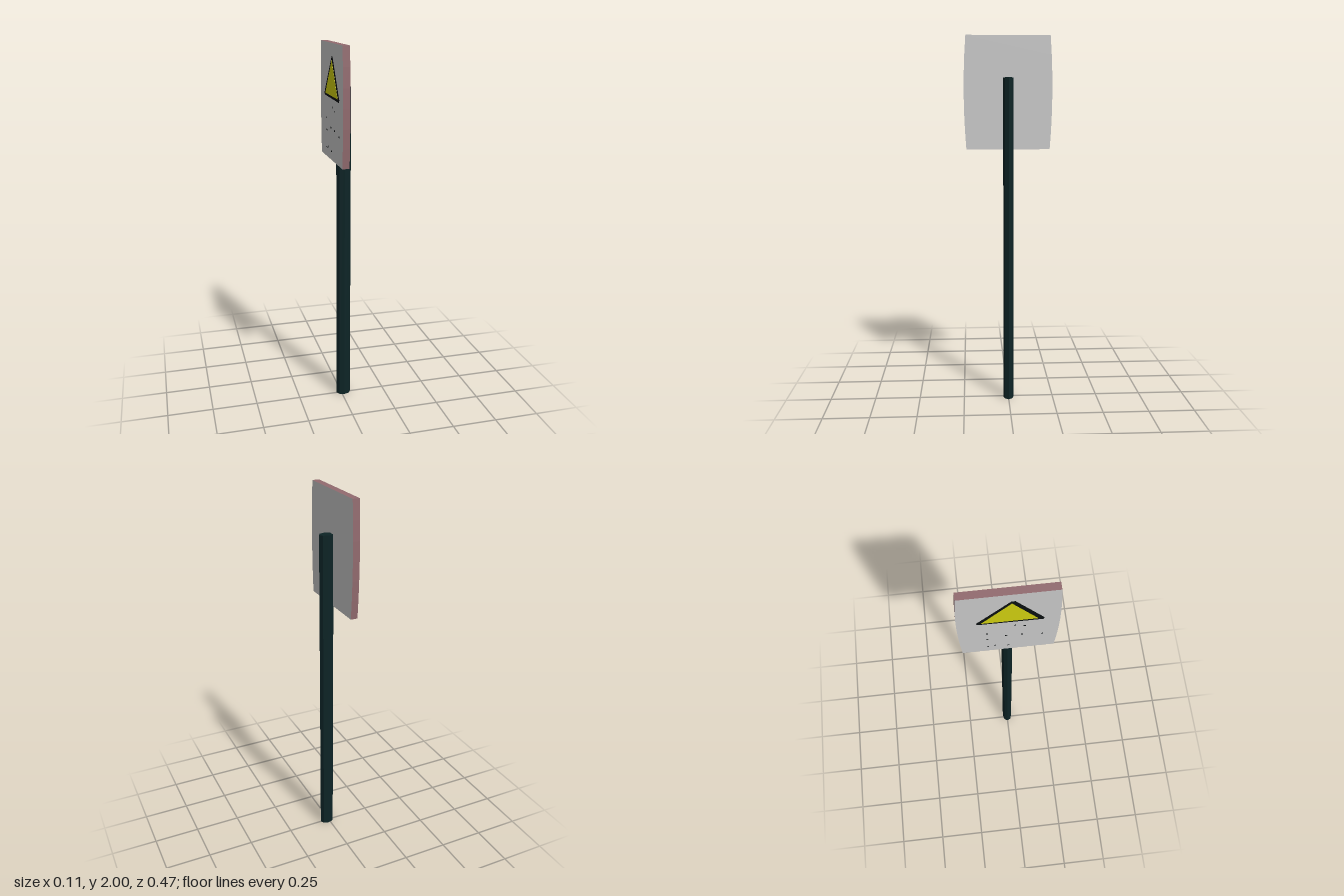
import * as THREE from 'three';

const mat = (name, color, flatShading = false) => {
  const m = new THREE.MeshStandardMaterial({ color, flatShading });
  m.name = name;
  return m;
};

// Outline given as [z, y] points, extruded towards -x from startX
function slab(name, points, startX, depth, material) {
  const shape = new THREE.Shape(points.map(([z, y]) => new THREE.Vector2(z, y)));
  const geo = new THREE.ExtrudeGeometry(shape, { depth, bevelEnabled: false });
  geo.rotateY(-Math.PI / 2).translate(startX, 0, 0);
  const mesh = new THREE.Mesh(geo, material);
  mesh.name = name;
  return mesh;
}

export function createModel() {
  const postGreen = mat('darkGreen', 0x0d2426, true);
  const white = mat('panelWhite', 0xcbcbcb);
  const rim = mat('rimPink', 0x926b6f);
  const yellow = mat('warningYellow', 0xd2d010);
  const black = mat('black', 0x0a0f10);

  const model = new THREE.Group();
  model.name = 'warningSign';

  // Eight-sided oval post
  const postGeo = new THREE.CylinderGeometry(1, 1, 1.78, 8);
  postGeo.scale(0.04, 1, 0.028).translate(0.012, 0.89, 0);
  const post = new THREE.Mesh(postGeo, postGreen);
  post.name = 'post';
  model.add(post);

  // Panel with gently bowed sides
  const outline = [];
  for (const side of [1, -1]) {
    for (let i = 0; i <= 6; i++) {
      const t = side * (i / 3 - 1);
      outline.push([side * (0.237 - 0.012 * t * t), 1.7 + 0.3 * t]);
    }
  }
  model.add(slab('panel', outline, -0.016, 0.037, [white, rim]));

  // Triangle with clipped corners and a yellow field
  const border = [
    [-0.142, 1.726], [0.158, 1.72], [0.164, 1.735],
    [0.03, 1.935], [0.012, 1.935], [-0.146, 1.74],
  ];
  const field = [[-0.125, 1.737], [0.135, 1.735], [0.015, 1.917]];
  model.add(slab('triangleBorder', border, -0.053, 0.001, black));
  model.add(slab('triangleField', field, -0.054, 0.001, yellow));

  // Small dark marks below the triangle
  const marks = [
    [0.03, 1.68], [0.075, 1.665], [-0.1, 1.61], [-0.01, 1.57], [0.065, 1.565],
    [-0.1, 1.545], [0.16, 1.55], [-0.1, 1.45], [-0.065, 1.46], [0, 1.447],
  ];
  const markGeo = new THREE.BoxGeometry(0.002, 0.008, 0.01);
  for (const [z, y] of marks) {
    const mark = new THREE.Mesh(markGeo, black);
    mark.name = 'panelMark';
    mark.position.set(-0.053, y, z);
    model.add(mark);
  }
  return model;
}
